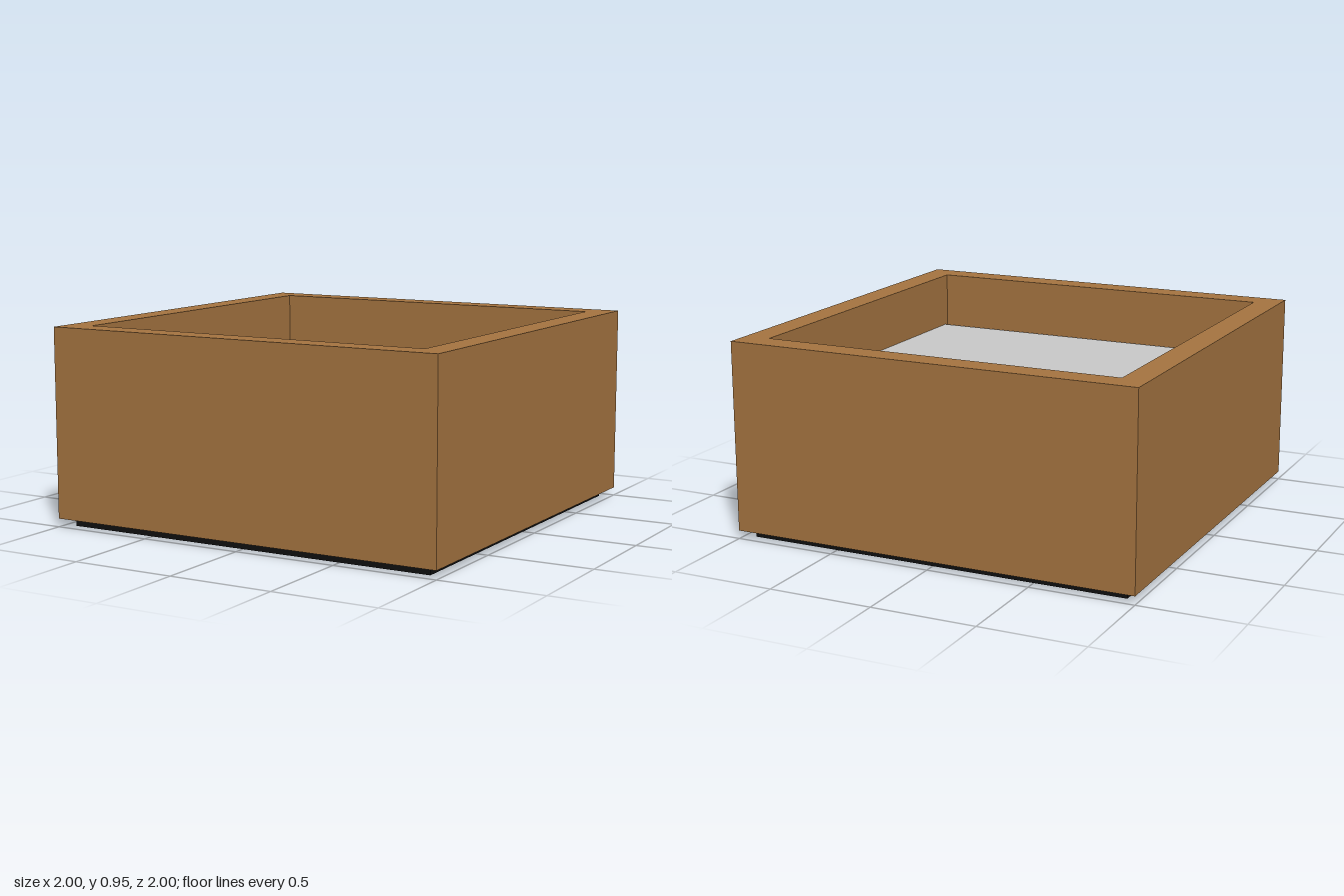
import * as THREE from 'three';

function flat(name, color) {
  const material = new THREE.MeshStandardMaterial({ color });
  material.name = name;
  return material;
}

export function createModel() {
  const wood = flat('wood', 0xa67541);
  const grey = flat('pale grey', 0xcacaca);
  const black = flat('black', 0x0f0f0f);

  const model = new THREE.Group();
  model.name = 'planterBox';
  const add = (name, geometry, material, x, y, z) => {
    const mesh = new THREE.Mesh(geometry, material);
    mesh.name = name;
    mesh.position.set(x, y, z);
    model.add(mesh);
  };

  const inner = 0.874, baseTop = 0.04, rim = 0.95, fillTop = 0.68;

  // Square wooden frame, open at top and bottom
  const square = (r) => [[-r, -r], [r, -r], [r, r], [-r, r]].map(([x, y]) => new THREE.Vector2(x, y));
  const outline = new THREE.Shape(square(1));
  outline.holes.push(new THREE.Path(square(inner)));
  const frame = new THREE.ExtrudeGeometry(outline, { depth: rim - baseTop, bevelEnabled: false });
  frame.rotateX(-Math.PI / 2);
  add('frame', frame, wood, 0, baseTop, 0);

  // Recessed base plate that closes the frame from below
  add('base', new THREE.BoxGeometry(1.885, baseTop, 1.885), black, 0, baseTop / 2, 0);

  // Inner block, leaving a narrow gap along the front wall
  const fillFront = 0.847;
  add('innerBlock', new THREE.BoxGeometry(inner * 2, fillTop - baseTop, inner + fillFront), grey,
    0, (fillTop + baseTop) / 2, (fillFront - inner) / 2);

  return model;
}
